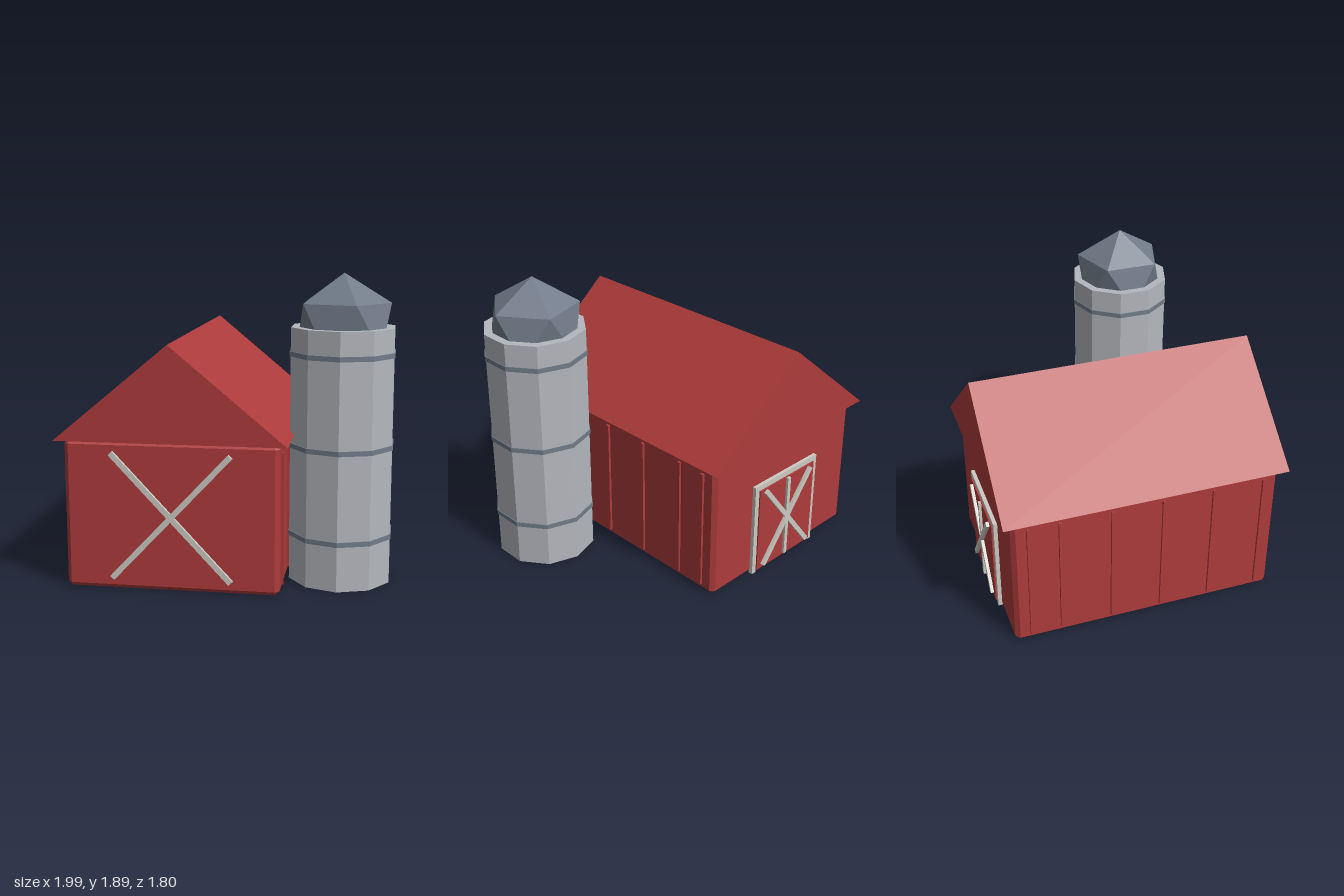
import * as THREE from 'three';
import { ConvexGeometry } from 'three/addons/geometries/ConvexGeometry.js';

const mat = (name, color) => {
  const m = new THREE.MeshStandardMaterial({ color, flatShading: true });
  m.name = name;
  return m;
};

// Box with every edge chamfered
function chamferedBox(w, h, d, c) {
  const pts = [];
  for (const x of [-1, 1]) for (const y of [-1, 1]) for (const z of [-1, 1]) {
    for (let a = 0; a < 3; a++) {
      pts.push(new THREE.Vector3(
        x * (w / 2 - (a === 0 ? 0 : c)),
        y * (h / 2 - (a === 1 ? 0 : c)),
        z * (d / 2 - (a === 2 ? 0 : c))));
    }
  }
  return new ConvexGeometry(pts);
}

export function createModel() {
  const red = mat('barn red', 0xae3b3c);
  const grey = mat('silo grey', 0xb4b7bd);
  const steel = mat('steel blue', 0x727c8a);
  const trim = mat('off white trim', 0xcbc9c1);

  const model = new THREE.Group();
  model.name = 'barnWithSilo';
  const add = (parent, name, geo, material, x = 0, y = 0, z = 0) => {
    const mesh = new THREE.Mesh(geo, material);
    mesh.name = name;
    mesh.position.set(x, y, z);
    parent.add(mesh);
    return mesh;
  };
  const box = (w, h, d) => new THREE.BoxGeometry(w, h, d);

  // Barn, centred on its own x axis
  const barn = new THREE.Group();
  barn.name = 'barn';
  barn.position.x = -0.3;
  model.add(barn);
  add(barn, 'walls', chamferedBox(1.3, 0.918, 1.695, 0.027), red, 0, 0.459, 0.002);

  // Gabled roof
  const gable = new THREE.Shape([
    new THREE.Vector2(-0.7, 0.917), new THREE.Vector2(0.7, 0.917), new THREE.Vector2(0, 1.5)]);
  add(barn, 'roof', new THREE.ExtrudeGeometry(gable, { depth: 1.8, bevelEnabled: false }), red, 0, 0, -0.9);

  // Wall battens on both long sides
  for (const side of [-1, 1]) for (const z of [-0.745, -0.55, -0.225, 0.1, 0.425, 0.755]) {
    add(barn, 'batten', box(0.03, 0.81, 0.02), red, side * 0.651, 0.455, z);
  }

  // Crossed beams
  const cross = (name, w, h, thick, y, z) => {
    const group = new THREE.Group();
    group.name = name;
    group.position.set(0, y, z);
    for (const s of [-1, 1]) {
      const beam = add(group, 'beam', box(Math.hypot(w, h), thick, 0.02), trim);
      beam.rotation.z = s * Math.atan2(h, w);
    }
    barn.add(group);
  };
  cross('frontCross', 0.722, 0.772, 0.034, 0.46, 0.861);

  // Back door with frame, centre rail and cross
  add(barn, 'doorPanel', box(0.53, 0.6, 0.035), red, 0, 0.32, -0.861);
  for (const s of [-1, 1]) {
    add(barn, 'doorPost', box(0.035, 0.655, 0.03), trim, s * 0.282, 0.3275, -0.855);
  }
  add(barn, 'doorLintel', box(0.6, 0.035, 0.03), trim, 0, 0.638, -0.855);
  add(barn, 'doorCentreRail', box(0.028, 0.58, 0.02), trim, 0, 0.325, -0.885);
  cross('doorCross', 0.435, 0.56, 0.032, 0.325, -0.889);

  // Silo
  const silo = new THREE.Group();
  silo.name = 'silo';
  silo.position.set(0.68, 0, 0.395);
  model.add(silo);
  add(silo, 'tower', new THREE.CylinderGeometry(0.325, 0.325, 1.57, 10), grey, 0, 0.785, 0);
  for (const y of [0.295, 0.85, 1.41]) {
    add(silo, 'band', new THREE.CylinderGeometry(0.331, 0.331, 0.03, 10), steel, 0, y, 0);
  }

  // Faceted dome, turned so that one corner points up
  const dome = new THREE.IcosahedronGeometry(0.319, 0);
  dome.rotateZ(-Math.atan(2 / (1 + Math.sqrt(5))));
  add(silo, 'dome', dome, steel, 0, 1.572, 0);

  return model;
}
